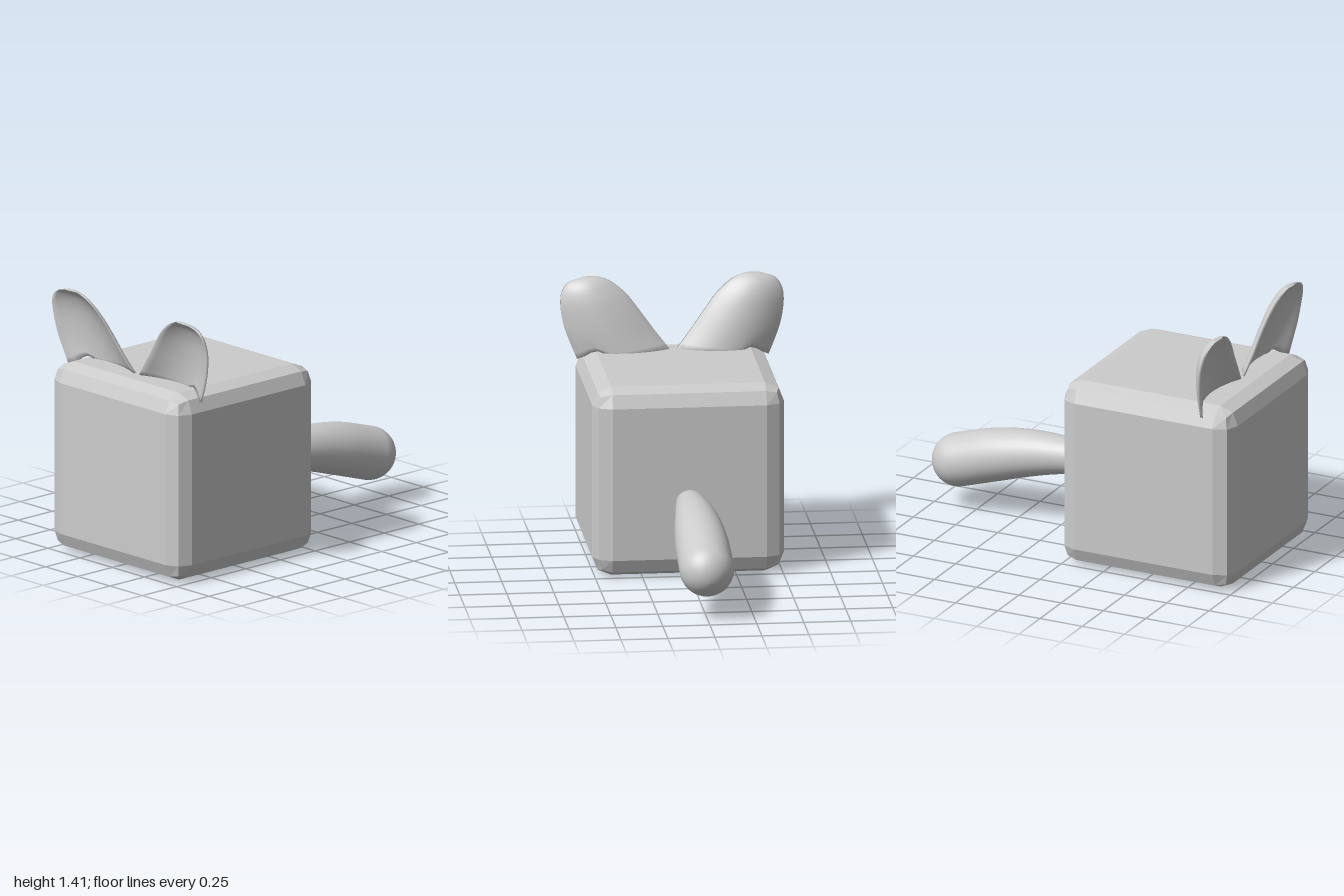
import * as THREE from 'three';
import { RoundedBoxGeometry } from 'three/addons/geometries/RoundedBoxGeometry.js';

const V = (x, y, z) => new THREE.Vector3(x, y, z);

// Skin a list of closed rings (even point count) and cap both ends.
function loft(rings, flip = false) {
  const n = rings[0].length, last = (rings.length - 1) * n, index = [];
  const quad = (a, b, c, d) => index.push(...(flip ? [a, c, b, a, d, c] : [a, b, c, a, c, d]));
  for (let r = 0; r < rings.length - 1; r++)
    for (let j = 0; j < n; j++) {
      const k = (j + 1) % n, a = r * n, b = a + n;
      quad(a + j, a + k, b + k, b + j);
    }
  for (let j = 0; j < n / 2 - 1; j++) {
    const k = n - 1 - j;
    quad(j, k, k - 1, j + 1);
    quad(last + j, last + j + 1, last + k - 1, last + k);
  }
  const geo = new THREE.BufferGeometry().setFromPoints(rings.flat());
  geo.setIndex(index);
  geo.computeVertexNormals();
  return geo;
}

// Cupped ear: each row spans from the inner to the outer rim and bows backwards.
function earGeometry(side) {
  const inner = new THREE.CatmullRomCurve3([
    V(0.02, 1.03, 0.818), V(0.09, 1.12, 0.835), V(0.17, 1.23, 0.85), V(0.24, 1.32, 0.868),
    V(0.31, 1.38, 0.882), V(0.35, 1.402, 0.888), V(0.39, 1.415, 0.892)]);
  const outer = new THREE.CatmullRomCurve3([
    V(0.51, 0.98, 0.835), V(0.55, 1.08, 0.845), V(0.577, 1.16, 0.855), V(0.594, 1.27, 0.868),
    V(0.587, 1.335, 0.88), V(0.555, 1.385, 0.888), V(0.47, 1.415, 0.892)]);
  const rows = 18, cols = 14, rings = [];
  for (let r = 0; r <= rows; r++) {
    const t = r / rows, front = [], back = [];
    const a = inner.getPoint(t), b = outer.getPoint(t);
    const depth = 0.075 * (1 - t ** 2.5);
    for (let j = 0; j <= cols; j++) {
      const u = j / cols, bow = 1 - (2 * u - 1) ** 2;
      const p = a.clone().lerp(b, u);
      // the lower edge arches up beside the outer tip
      p.y += 0.05 * Math.exp(-(((u - 0.8) / 0.13) ** 2)) * Math.max(0, 1 - t * 5);
      p.z -= depth * bow;
      const half = 0.008 + 0.008 * bow;
      front.push(V(p.x * side, p.y, p.z + half));
      back.unshift(V(p.x * side, p.y, p.z - half));
    }
    rings.push([...front, ...back]);
  }
  return loft(rings, side < 0);
}

// Drooping club-shaped tail with a rounded end.
function tailGeometry() {
  const path = new THREE.CatmullRomCurve3([
    V(0, 0.4, 0.04), V(0, 0.402, -0.02), V(0, 0.403, -0.2), V(0, 0.383, -0.4),
    V(0, 0.337, -0.62), V(0, 0.267, -0.852)]);
  const radii = new THREE.CatmullRomCurve3(
    [0.07, 0.076, 0.098, 0.123, 0.142, 0.145].map((r, i) => V(i, r, 0)));
  const ring = (c, dir, r) => Array.from({ length: 32 }, (_, j) => {
    const a = j / 32 * Math.PI * 2;
    return V(Math.sin(a) * r, -dir.z * Math.cos(a) * r, dir.y * Math.cos(a) * r).add(c);
  });
  const rings = [];
  for (let i = 0; i <= 25; i++) {
    const t = i / 25;
    rings.push(ring(path.getPoint(t), path.getTangent(t), radii.getPoint(t).y));
  }
  const end = path.getPoint(1), dir = path.getTangent(1);
  for (let i = 1; i <= 10; i++) {
    const a = i / 10 * 1.56;
    rings.push(ring(end.clone().addScaledVector(dir, 0.147 * Math.sin(a)), dir, 0.145 * Math.cos(a)));
  }
  return loft(rings);
}

export function createModel() {
  const group = new THREE.Group();
  const smooth = new THREE.MeshStandardMaterial({ color: 0xcccccc });
  const flat = new THREE.MeshStandardMaterial({ color: 0xcccccc, flatShading: true });
  const add = (name, geo, mat) => {
    const mesh = new THREE.Mesh(geo, mat);
    mesh.name = name;
    group.add(mesh);
    return mesh;
  };

  // Bevelled cube body
  add('body', new RoundedBoxGeometry(1.02, 1.03, 1.02, 1, 0.1), flat).position.set(0, 0.515, 0.49);
  add('leftEar', earGeometry(1), smooth);
  add('rightEar', earGeometry(-1), smooth);
  add('tail', tailGeometry(), smooth);
  return group;
}
